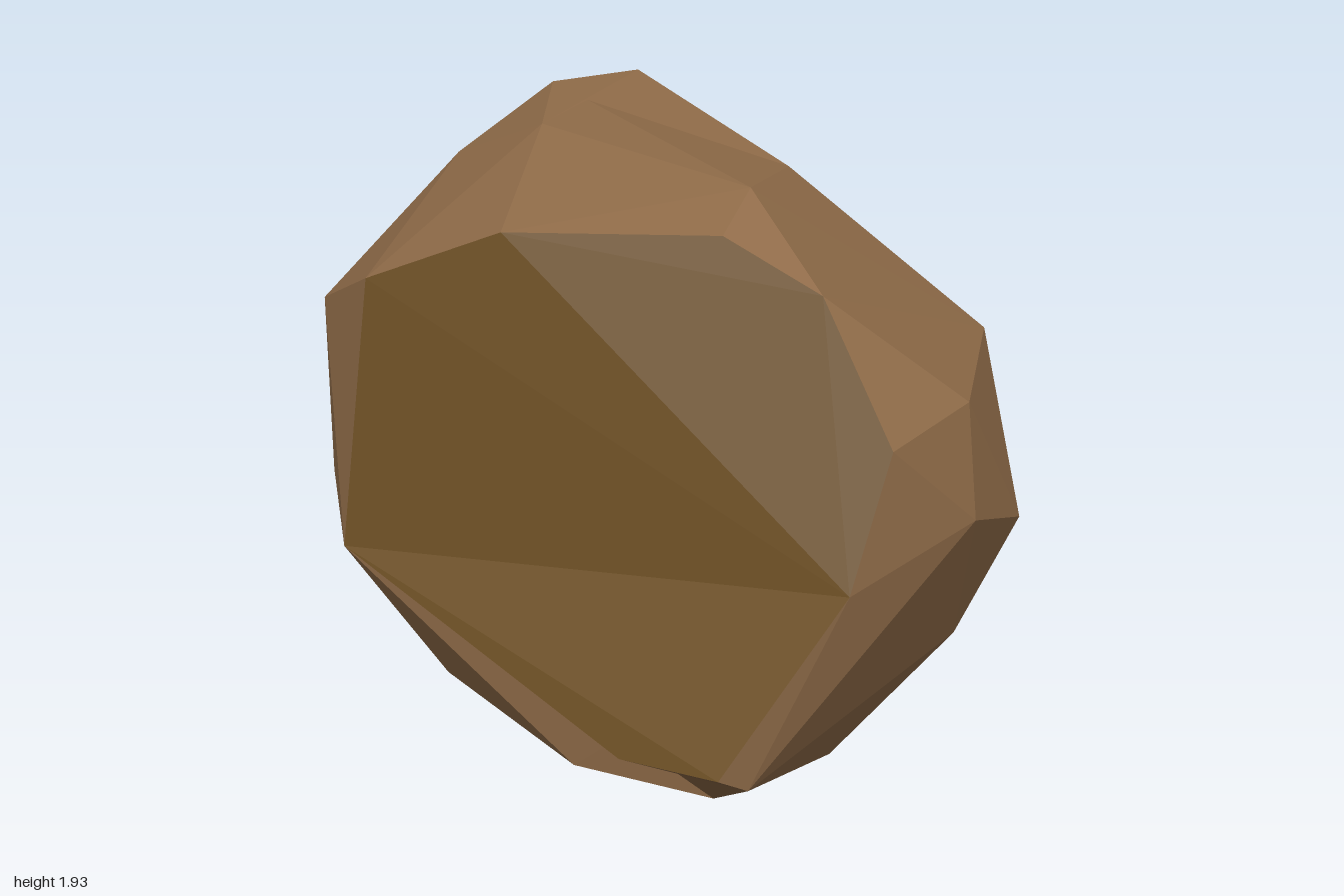
import * as THREE from 'three';
import { ConvexGeometry } from 'three/addons/geometries/ConvexGeometry.js';

const vectors = (rows) => rows.map((r) => new THREE.Vector3(...r));

// Rim of the broad front cut, and the two corners where it runs out onto the lip
const frontUpper = vectors([
  [-0.63, 1.58, 0.51], [-0.23, 1.76, 0.40], [0.34, 1.81, 0.21], [0.63, 1.71, 0.20],
  [0.90, 1.40, 0.30], [0.90, 1.08, 0.48], [-0.60, 0.84, 0.71],
]);
const frontLip = vectors([[0.77, 0.70, 0.85], [0.48, 0.65, 0.86]]);
const lipUnder = new THREE.Vector3(0.80, 0.63, 0.76);

// Rim of the back cut, and the point of the knob overhanging it
const backRim = vectors([
  [0.22, 0.93, -0.86], [0.25, 1.32, -0.78], [-0.28, 1.81, -0.69],
  [-0.78, 1.55, -0.74], [-0.77, 1.11, -0.69], [-0.54, 0.86, -0.69], [-0.22, 0.64, -0.73],
]);
const knobPoint = new THREE.Vector3(-0.65, 1.72, -0.78);
const knobTop = new THREE.Vector3(-0.56, 1.93, -0.67);

// Crown
const crown = vectors([
  [-0.71, 1.92, -0.43], [-0.85, 1.76, -0.63], [-0.48, 1.90, -0.09],
  [0.18, 1.82, -0.37], [-0.86, 1.74, -0.15], [0.30, 1.88, 0.02],
]);

// Corners around the sides
const sides = vectors([
  [0.72, 1.39, -0.58], [0.93, 1.41, -0.05], [1.0, 1.11, 0.0], [0.95, 0.92, -0.42],
  [0.72, 0.90, -0.66], [0.46, 0.66, -0.71], [0.77, 0.45, -0.45],
  [-0.95, 1.41, 0.37], [-1.0, 0.92, 0.16], [-0.85, 0.92, 0.49], [-0.86, 0.76, -0.29],
]);

// Tapering underside, and the corner overhanging it below the lip
const frontFoot = vectors([[0.68, 0.31, 0.13], [0.11, 0.30, 0.58], [-0.40, 0.39, 0.53]]);
const footCorner = new THREE.Vector3(0.53, 0.32, 0.50);
const underside = vectors([
  [-0.56, 0.34, 0.16], [-0.47, 0.28, -0.25], [0.17, 0.07, 0.08],
  [0.49, 0.07, -0.07], [0.34, 0.0, -0.11], [0.31, 0.11, -0.24],
]);

export function createModel() {
  const group = new THREE.Group();
  group.name = 'boulder';
  const stone = new THREE.MeshStandardMaterial({ color: 0x8f6b48 });
  stone.name = 'brown stone';
  const cut = new THREE.MeshStandardMaterial({ color: 0x6b4e24 });
  cut.name = 'dark ochre cut';

  const rims = [[...frontUpper, ...frontLip], [...backRim, knobPoint]];

  // A facet is a dark cut when all its corners lie on the same rim
  function addChunk(name, points) {
    const pos = new ConvexGeometry(points).getAttribute('position');
    const parts = { stone: [], cut: [] };
    for (let i = 0; i < pos.count; i += 3) {
      const tri = [0, 1, 2].map((k) => new THREE.Vector3().fromBufferAttribute(pos, i + k));
      const onRim = rims.some((rim) =>
        tri.every((v) => rim.some((p) => p.distanceTo(v) < 1e-4)));
      for (const v of tri) parts[onRim ? 'cut' : 'stone'].push(v);
    }
    for (const [key, material] of [['stone', stone], ['cut', cut]]) {
      if (!parts[key].length) continue;
      const geometry = new THREE.BufferGeometry().setFromPoints(parts[key]);
      geometry.computeVertexNormals();
      const mesh = new THREE.Mesh(geometry, material);
      mesh.name = key === 'cut' ? name + 'DarkFacets' : name + 'Facets';
      group.add(mesh);
    }
  }

  addChunk('body', [...frontUpper, ...backRim, ...crown, ...sides, ...frontFoot, ...underside]);

  // Knob on the upper back corner
  addChunk('knob', [knobPoint, knobTop, backRim[2], backRim[3], ...crown.slice(0, 4)]);

  // Foot, shoulder and lip step out towards the lower front corner
  const [heel, toe] = frontFoot;
  const [cheek, jaw] = frontUpper.slice(5);
  addChunk('foot', [cheek, jaw, heel, toe, footCorner]);
  addChunk('shoulder', [cheek, jaw, sides[2], sides[6], heel, footCorner, lipUnder]);
  addChunk('lip', [cheek, jaw, ...frontLip, lipUnder]);
  return group;
}
